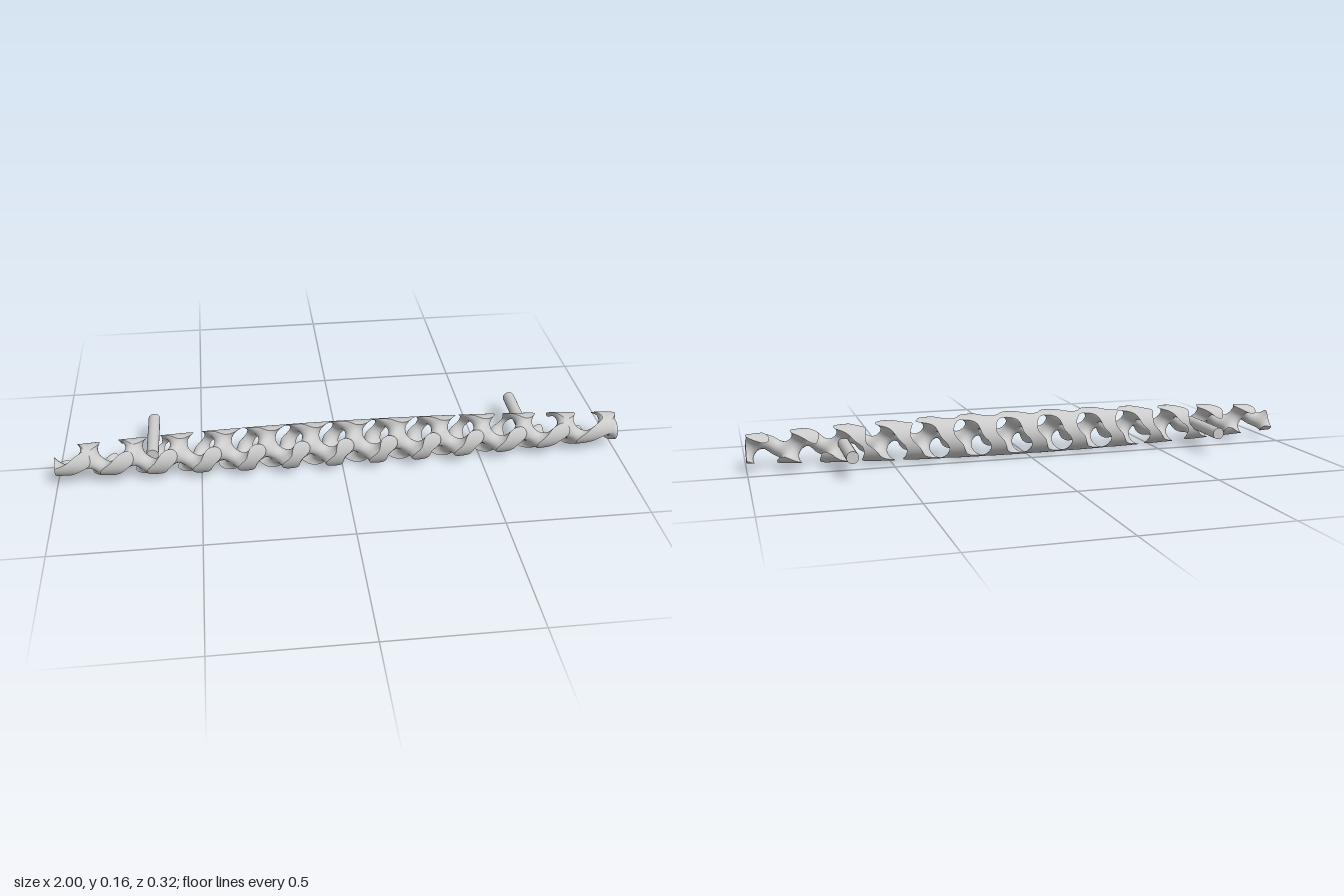
import * as THREE from 'three';

const PERIOD = 0.154, K = 2 * Math.PI / PERIOD, SHIFT = 0.024, LEVEL = 0.48;
const CENTRE = 0.08; // height and depth of the bar's axis
const NX = 240, NS = 9, NT = 40; // cells along, outward and around

const barRadius = (x) => 0.05 + 0.03 * (1 - x * x);

// Gyroid lattice: solid where positive
function lattice(p) {
  const X = K * (p.x - SHIFT), Y = K * p.y, Z = K * p.z;
  return Math.sin(X) * Math.cos(Z) + Math.sin(Z) * Math.cos(Y) + Math.sin(Y) * Math.cos(X) - LEVEL;
}

function latticeNormal(p) {
  const X = K * (p.x - SHIFT), Y = K * p.y, Z = K * p.z;
  const { sin, cos } = Math;
  return new THREE.Vector3(
    sin(Y) * sin(X) - cos(X) * cos(Z),
    sin(Z) * sin(Y) - cos(Y) * cos(X),
    sin(X) * sin(Z) - cos(Z) * cos(Y)).normalize();
}

// Grid node in the spindle; the extra outer layers coincide with the skin and are empty, which caps it
function node(i, j, k) {
  const x = -1 + 2 * THREE.MathUtils.clamp(i, 0, NX) / NX;
  const s = Math.min(j, NS) / NS;
  const r = barRadius(x) * s;
  const a = 2 * Math.PI * k / NT;
  const p = new THREE.Vector3(x, r * Math.sin(a), r * Math.cos(a));
  const outside = i < 0 || i > NX || j > NS;
  return { p, s, v: outside ? -1e6 : lattice(p) };
}

// Point where the surface crosses the edge from an inside node to an outside one
function cross(a, b) {
  const t = a.v / (a.v - b.v);
  return { p: a.p.clone().lerp(b.p, t), s: THREE.MathUtils.lerp(a.s, b.s, t) };
}

const endNormal = (p) => new THREE.Vector3(Math.sign(p.x), 0, 0);
const skinNormal = (p) => new THREE.Vector3(0.06 * p.x * Math.hypot(p.y, p.z), p.y, p.z).normalize();

// Trace the lattice surface by splitting every grid cell into six tetrahedra
function latticeGeometry() {
  const positions = [], normals = [];
  const e1 = new THREE.Vector3(), e2 = new THREE.Vector3();

  const addTriangle = (outward, a, b, c) => {
    const face = e1.subVectors(b.p, a.p).cross(e2.subVectors(c.p, a.p));
    if (face.length() < 1e-10) return;
    const tri = [a, b, c];
    const onEnd = tri.every((q) => Math.abs(q.p.x) > 1 - 1e-7);
    const onSkin = tri.every((q) => q.s > 1 - 1e-7);
    const normalAt = onEnd ? endNormal : onSkin ? skinNormal : latticeNormal;
    const facing = onEnd || onSkin ? normalAt(a.p) : outward;
    if (face.dot(facing) < 0) tri.reverse();
    for (const { p } of tri) {
      const n = normalAt(p);
      positions.push(p.x, p.y + CENTRE, p.z + CENTRE);
      normals.push(n.x, n.y, n.z);
    }
  };

  const addTetra = (corners) => {
    const inside = corners.filter((c) => c.v > 0);
    const outside = corners.filter((c) => c.v <= 0);
    if (!inside.length || !outside.length) return;
    // Any step from an inside corner to an outside one points out of the solid
    const outward = new THREE.Vector3();
    for (const n of inside) for (const o of outside) outward.add(o.p).sub(n.p);
    if (inside.length === 1) {
      addTriangle(outward, ...outside.map((o) => cross(inside[0], o)));
    } else if (inside.length === 3) {
      addTriangle(outward, ...inside.map((n) => cross(n, outside[0])));
    } else {
      const [a, b] = inside, [c, d] = outside;
      const ac = cross(a, c), bd = cross(b, d);
      addTriangle(outward, ac, cross(a, d), bd);
      addTriangle(outward, ac, bd, cross(b, c));
    }
  };

  // Evaluate every node once
  const nodes = [];
  for (let i = -1; i <= NX + 1; i++) {
    const slice = [];
    for (let j = 0; j <= NS + 1; j++) {
      const ring = [];
      for (let k = 0; k < NT; k++) ring.push(node(i, j, k));
      slice.push(ring);
    }
    nodes.push(slice);
  }

  const paths = [[1, 3], [1, 5], [2, 3], [2, 6], [4, 5], [4, 6]];
  for (let i = 0; i < NX + 2; i++) {
    for (let j = 0; j <= NS; j++) {
      for (let k = 0; k < NT; k++) {
        const cell = [];
        for (let n = 0; n < 8; n++) {
          cell.push(nodes[i + (n & 1)][j + ((n >> 1) & 1)][(k + (n >> 2)) % NT]);
        }
        for (const [m, n] of paths) addTetra([cell[0], cell[m], cell[n], cell[7]]);
      }
    }
  }

  const geometry = new THREE.BufferGeometry();
  geometry.setAttribute('position', new THREE.Float32BufferAttribute(positions, 3));
  geometry.setAttribute('normal', new THREE.Float32BufferAttribute(normals, 3));
  return geometry;
}

export function createModel() {
  const group = new THREE.Group();
  const material = new THREE.MeshStandardMaterial({ color: 0xcccccc });

  // Tapered lattice grip
  const bar = new THREE.Mesh(latticeGeometry(), material);
  bar.name = 'latticeBar';
  group.add(bar);

  // Two mounting rods running back from the bar's axis
  const front = 0.08, back = -0.16;
  for (const side of [-1, 1]) {
    const rod = new THREE.Mesh(new THREE.CylinderGeometry(0.021, 0.021, front - back, 40), material);
    rod.name = side > 0 ? 'leftMountingRod' : 'rightMountingRod';
    rod.rotation.x = Math.PI / 2;
    rod.position.set(side * 0.667, CENTRE, (front + back) / 2);
    group.add(rod);
  }
  return group;
}
